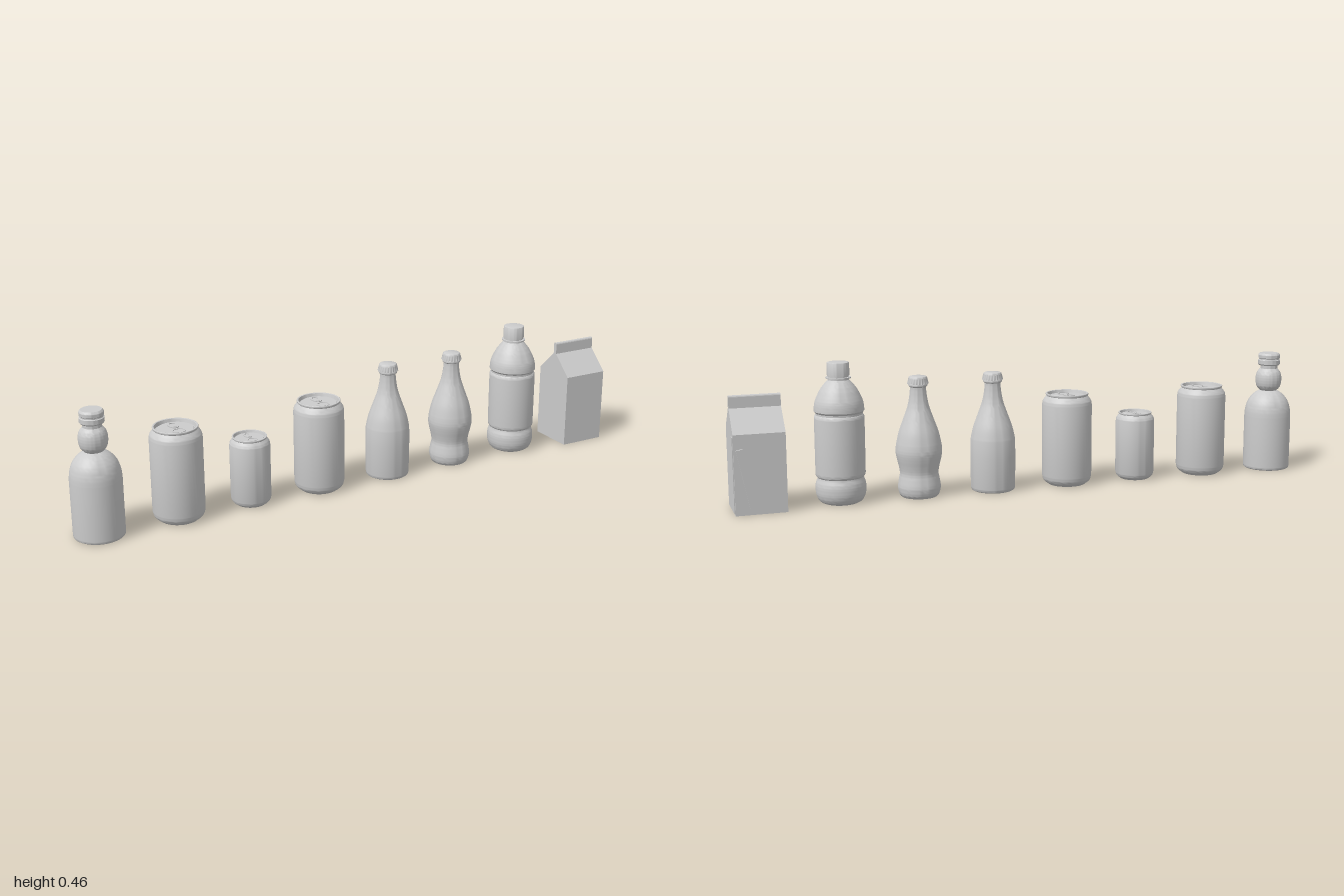
import * as THREE from 'three';
import { toCreasedNormals } from 'three/addons/utils/BufferGeometryUtils.js';

const grey = new THREE.MeshStandardMaterial({ color: 0xcccccc });
grey.name = 'plain grey';

function mesh(name, geometry, parent) {
  const m = new THREE.Mesh(geometry, grey);
  m.name = name;
  parent.add(m);
  return m;
}

// Revolve a chain of [radius, y] runs; runs of three or more points become smooth curves
function turned(name, runs, parent) {
  const pts = [];
  for (const run of runs) {
    const v = run.map(([r, y]) => new THREE.Vector2(r, y));
    const list = v.length > 2 ? new THREE.SplineCurve(v).getPoints((v.length - 1) * 5) : v;
    for (const p of list) {
      p.x = Math.max(0, p.x);
      if (!pts.length || pts[pts.length - 1].distanceTo(p) > 1e-5) pts.push(p);
    }
  }
  return mesh(name, toCreasedNormals(new THREE.LatheGeometry(pts, 48), 0.6), parent);
}

function item(name, x, parent) {
  const g = new THREE.Group();
  g.name = name;
  g.position.x = x;
  parent.add(g);
  return g;
}

function ellipse(Type, z, rx, rz) {
  const s = new Type();
  s.absellipse(0, z, rx, rz, 0, Math.PI * 2, false, 0);
  return s;
}

// Horizontal plate with shape y running toward the back
function plate(name, shape, y, depth, parent) {
  const geo = new THREE.ExtrudeGeometry(shape, { depth, bevelEnabled: false, curveSegments: 16 });
  const m = mesh(name, toCreasedNormals(geo, 0.6), parent);
  m.rotation.x = -Math.PI / 2;
  m.position.y = y;
}

function addCan(name, x, R, H, parent) {
  const can = item(name, x, parent);
  const k = R / 0.085, lid = H - 0.009 * k;
  turned('canBody', [
    [[0, 0.02 * k], [0.035 * k, 0.016 * k], [0.057 * k, 0.004 * k]],
    [[0.057 * k, 0.004 * k], [0.061 * k, 0], [0.066 * k, 0.003 * k]],
    [[0.066 * k, 0.003 * k], [0.08 * k, 0.015 * k], [R, 0.032 * k]],
    [[R, 0.032 * k], [R, H - 0.04 * k]],
    [[R, H - 0.04 * k], [0.082 * k, H - 0.025 * k], [0.07 * k, H - 0.009 * k]],
    [[0.072 * k, H - 0.007 * k], [0.073 * k, H - 0.002 * k], [0.071 * k, H], [0.067 * k, H - 0.001 * k]],
    [[0.064 * k, lid - 0.004 * k], [0.06 * k, lid - 0.004 * k]],
    [[0.058 * k, lid], [0, lid]],
  ], can);
  // Ring pull, rivet and the raised outline of the opening
  const tab = ellipse(THREE.Shape, 0.018 * k, 0.017 * k, 0.026 * k);
  tab.holes.push(ellipse(THREE.Path, 0.026 * k, 0.01 * k, 0.011 * k));
  plate('ringPull', tab, lid + 0.002 * k, 0.003 * k, can);
  const rim = ellipse(THREE.Shape, -0.03 * k, 0.022 * k, 0.019 * k);
  rim.holes.push(ellipse(THREE.Path, -0.03 * k, 0.019 * k, 0.016 * k));
  plate('openingOutline', rim, lid, 0.002 * k, can);
  const rivet = mesh('rivet', new THREE.CylinderGeometry(0.005 * k, 0.005 * k, 0.007 * k, 16), can);
  rivet.position.set(0, lid + 0.003 * k, -0.003 * k);
}

// Crimped crown cap: cylinder whose lower edge is fluted
function addCrown(parent) {
  const geo = new THREE.CylinderGeometry(0.031, 0.034, 0.018, 126, 2, true);
  const p = geo.attributes.position;
  for (let i = 0; i < p.count; i++) {
    const a = Math.atan2(p.getX(i), p.getZ(i));
    const f = 1 + 0.05 * Math.cos(21 * a) * (0.5 - p.getY(i) / 0.018);
    p.setX(i, p.getX(i) * f);
    p.setZ(i, p.getZ(i) * f);
  }
  geo.computeVertexNormals();
  mesh('crownSkirt', geo, parent).position.y = 0.385;
  turned('crownTop', [[[0.031, 0.394], [0.029, 0.399], [0.024, 0.401]], [[0.024, 0.401], [0, 0.401]]], parent);
  turned('crownUnderside', [[[0.024, 0.376], [0.034, 0.376]]], parent).geometry.scale(1, 1, 1);
}

export function createModel() {
  const model = new THREE.Group();
  model.name = 'drinkContainers';

  // Marble-neck bottle
  const marble = item('marbleBottle', -0.918, model);
  turned('bottle', [
    [[0, 0], [0.076, 0]],
    [[0.076, 0], [0.081, 0.004], [0.082, 0.014]],
    [[0.082, 0.014], [0.082, 0.19]],
    [[0.082, 0.19], [0.079, 0.218], [0.069, 0.247], [0.05, 0.27], [0.03, 0.283]],
    [[0.03, 0.283], [0.042, 0.298], [0.046, 0.323], [0.042, 0.346], [0.03, 0.362]],
    [[0.03, 0.362], [0.03, 0.378]],
  ], marble);
  turned('cap', [
    [[0.028, 0.374], [0.036, 0.374]],
    [[0.039, 0.378], [0.039, 0.392]],
    [[0.036, 0.394], [0.036, 0.398]],
    [[0.038, 0.4], [0.038, 0.411], [0.033, 0.417]],
    [[0.033, 0.417], [0, 0.417]],
  ], marble);

  // Cans
  addCan('largeCan', -0.65, 0.085, 0.316, model);
  addCan('smallCan', -0.395, 0.067, 0.235, model);
  addCan('largeCan', -0.14, 0.085, 0.316, model);

  // Straight and waisted crown-cap bottles share the neck
  const neck = [[0.075, 0.175], [0.066, 0.215], [0.05, 0.26], [0.036, 0.3], [0.029, 0.335], [0.026, 0.365]];
  const lip = [[0.026, 0.365], [0.031, 0.369], [0.031, 0.375], [0.027, 0.378]];
  const straight = item('straightBottle', 0.127, model);
  turned('bottle', [
    [[0, 0], [0.067, 0]],
    [[0.067, 0], [0.073, 0.004], [0.075, 0.013]],
    [[0.075, 0.013], [0.076, 0.12]],
    [[0.076, 0.12], [0.075, 0.175]],
    neck, lip,
  ], straight);
  addCrown(straight);

  const waisted = item('waistedBottle', 0.384, model);
  turned('bottle', [
    [[0, 0], [0.06, 0]],
    [[0.06, 0], [0.066, 0.008], [0.071, 0.03], [0.068, 0.055], [0.064, 0.078],
      [0.067, 0.1], [0.074, 0.13], [0.077, 0.152], [0.075, 0.175]],
    neck, lip,
  ], waisted);
  addCrown(waisted);

  // Plastic bottle with two waist grooves
  const plastic = item('plasticBottle', 0.647, model);
  turned('bottle', [
    [[0, 0.008], [0.045, 0.004], [0.056, 0]],
    [[0.056, 0], [0.07, 0.008], [0.079, 0.025], [0.082, 0.045], [0.081, 0.065], [0.076, 0.079]],
    [[0.076, 0.079], [0.075, 0.086]],
    [[0.075, 0.086], [0.08, 0.092], [0.081, 0.1]],
    [[0.081, 0.1], [0.081, 0.278]],
    [[0.081, 0.278], [0.08, 0.286], [0.076, 0.291]],
    [[0.076, 0.291], [0.076, 0.297]],
    [[0.081, 0.303], [0.08, 0.32], [0.075, 0.34], [0.06, 0.371], [0.046, 0.39], [0.034, 0.403]],
    [[0.034, 0.403], [0.034, 0.408]],
    [[0.041, 0.408], [0.041, 0.412]],
    [[0.033, 0.412], [0.033, 0.418]],
  ], plastic);
  turned('screwCap', [
    [[0.031, 0.417], [0.036, 0.417]],
    [[0.036, 0.417], [0.036, 0.456]],
    [[0.036, 0.456], [0.035, 0.459], [0.032, 0.46]],
    [[0.032, 0.46], [0, 0.46]],
  ], plastic);

  // Gable-top carton: side outline extruded across x
  const carton = item('carton', 0.915, model);
  const W = 0.164, zf = 0.085, zb = -0.077, zc = 0.004;
  const outline = new THREE.Shape([
    [-zf, 0], [-zb, 0], [-zb, 0.258], [-zc, 0.336], [-zf, 0.258],
  ].map(([u, v]) => new THREE.Vector2(u, v)));
  const box = new THREE.ExtrudeGeometry(outline, { depth: W, bevelEnabled: false });
  box.rotateY(Math.PI / 2).translate(-W / 2, 0, 0);
  mesh('cartonBody', box, carton);

  // Sealed top fin with rounded upper edge
  const fin = new THREE.Shape();
  fin.moveTo(-zc - 0.007, 0.325);
  fin.lineTo(-zc + 0.007, 0.325);
  fin.lineTo(-zc + 0.007, 0.364);
  fin.quadraticCurveTo(-zc + 0.006, 0.37, -zc, 0.37);
  fin.quadraticCurveTo(-zc - 0.006, 0.37, -zc - 0.007, 0.364);
  fin.closePath();
  const finGeo = new THREE.ExtrudeGeometry(fin, { depth: W, bevelEnabled: false, curveSegments: 6 });
  finGeo.rotateY(Math.PI / 2).translate(-W / 2, 0, 0);
  mesh('topFin', finGeo, carton);

  // Side seam strip and slanted straw packet on the back
  mesh('seamStrip', new THREE.BoxGeometry(0.003, 0.242, 0.025), carton).position.set(W / 2 + 0.001, 0.128, -0.057);
  const straw = mesh('strawPacket', new THREE.BoxGeometry(0.022, 0.19, 0.008), carton);
  straw.position.set(0.045, 0.118, zb - 0.003);
  straw.rotation.z = -0.2;

  return model;
}
